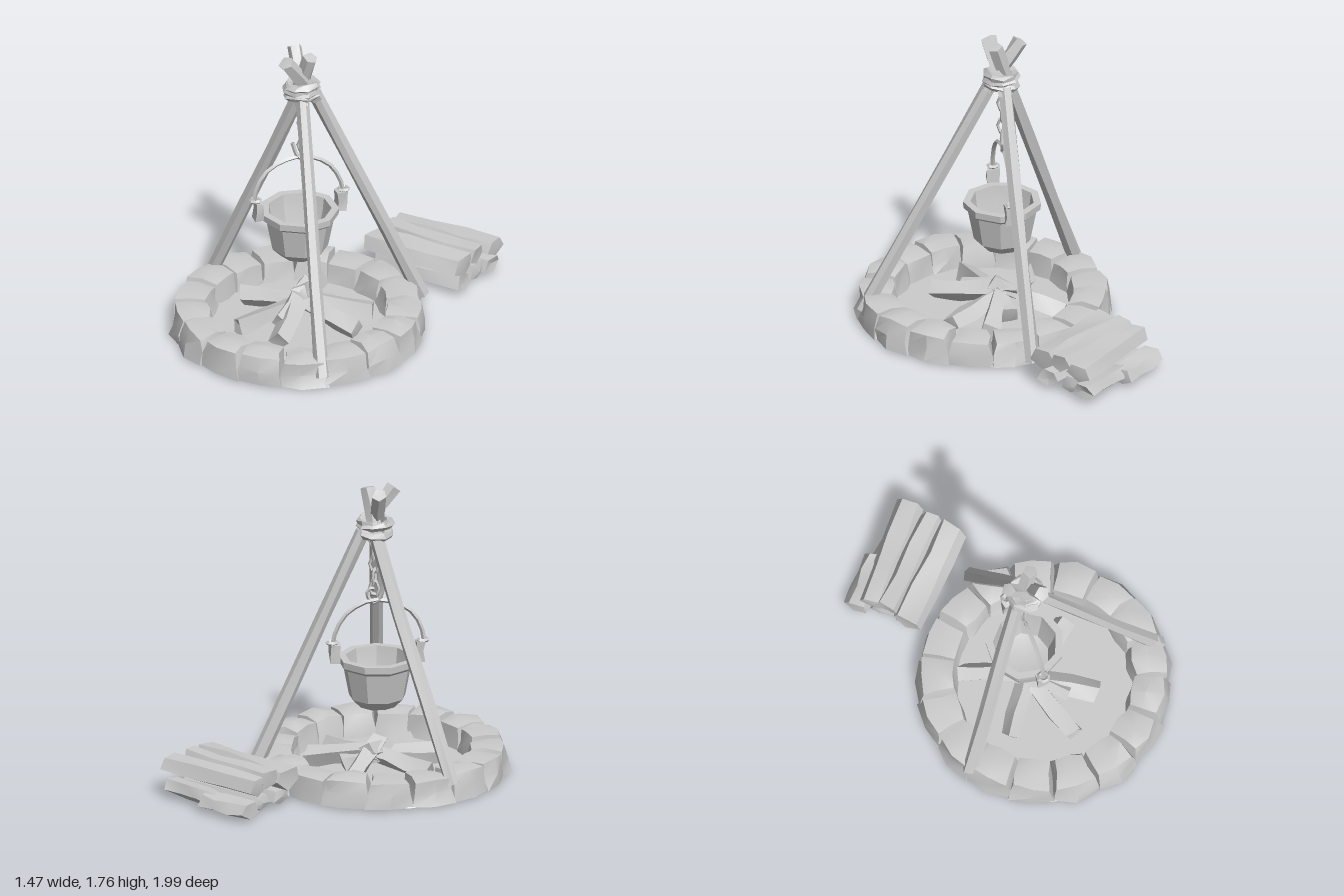
import * as THREE from 'three';
import { toCreasedNormals } from 'three/addons/utils/BufferGeometryUtils.js';

const material = new THREE.MeshStandardMaterial({ color: 0xcccccc, side: THREE.DoubleSide });
const V = (x, y, z) => new THREE.Vector3(x, y, z);

// Repeatable noise in -1..1 from a position, so coincident corners stay together
function noise(p, seed) {
  const r = n => Math.round(n * 1000) / 1000;
  const s = Math.sin(r(p.x) * 127.1 + r(p.y) * 311.7 + r(p.z) * 74.7 + seed * 53.3) * 43758.5453;
  return (s - Math.floor(s)) * 2 - 1;
}

// Move every vertex by a rule
function reshape(geometry, rule) {
  const pos = geometry.attributes.position, p = V(0, 0, 0);
  for (let i = 0; i < pos.count; i++) {
    p.fromBufferAttribute(pos, i);
    const q = rule(p);
    pos.setXYZ(i, q.x, q.y, q.z);
  }
  return geometry;
}

function jitter(geometry, amount, seed) {
  return reshape(geometry, p => V(
    p.x + amount * noise(p, seed),
    p.y + amount * noise(p, seed + 1),
    p.z + amount * noise(p, seed + 2)));
}

function add(parent, name, geometry) {
  const mesh = new THREE.Mesh(toCreasedNormals(geometry, 0.5), material);
  mesh.name = name;
  parent.add(mesh);
  return mesh;
}

// Rough wooden bar between two points
function beam(parent, name, a, b, r0, r1, sides, rough, seed, flat = 1) {
  const dir = b.clone().sub(a);
  const g = new THREE.CylinderGeometry(r1, r0, dir.length(), sides, 3);
  g.scale(1, 1, flat);
  const mesh = add(parent, name, jitter(g, rough, seed));
  mesh.quaternion.setFromUnitVectors(V(0, 1, 0), dir.normalize());
  mesh.position.copy(a).add(b).multiplyScalar(0.5);
  return mesh;
}

function group(parent, name, x = 0, y = 0, z = 0) {
  const g = new THREE.Group();
  g.name = name;
  g.position.set(x, y, z);
  parent.add(g);
  return g;
}

function buildFirePit(root) {
  const pit = group(root, 'firePit', 0, 0, 0.25);
  add(pit, 'ashBed', new THREE.CylinderGeometry(0.7, 0.72, 0.025, 28)).position.y = 0.0125;

  // Rough blocks bent round the ring
  const count = 17, step = Math.PI * 2 / count;
  for (let i = 0; i < count; i++) {
    const height = 0.158 + 0.014 * noise(V(i, 0, 0), 4);
    const g = new THREE.BoxGeometry(1, 1, 1, 2, 2, 2);
    add(pit, 'ringStone', reshape(g, p => {
      const n = k => noise(p, i * 3 + k);
      const up = p.y + 0.5;
      const bulge = 1 - 0.4 * p.x * p.x;
      const angle = (i + 0.5 + p.x * (1.06 - 0.2 * up) + 0.05 * n(0)) * step;
      const radius = 0.612 + p.z * (0.255 - 0.06 * up) * bulge + 0.014 * n(1);
      const y = up === 0 ? 0 : up * height * (1 - 0.25 * p.x * p.x - 0.3 * p.z * p.z) * 1.07 + 0.008 * n(2);
      return V(Math.sin(angle) * radius, y, Math.cos(angle) * radius);
    }));
  }
}

function buildCampfire(root) {
  const fire = group(root, 'campfireLogs');
  // Outer end x, z and height of the inner end
  const logs = [[-0.12, -0.21, 0.19], [0.34, -0.01, 0.14], [0.38, 0.24, 0.13], [0.05, 0.56, 0.15],
    [-0.24, 0.53, 0.13], [-0.39, 0.2, 0.14], [0.1, 0.02, 0.12]];
  logs.forEach(([x, z, h], i) => beam(fire, 'fireLog', V(x, 0.07, z),
    V(-0.03 - x * 0.12, h, 0.16 + (0.16 - z) * 0.12), 0.064, 0.055, 4, 0.012, i * 5 + 1));
  // Long log leaning over the heap
  beam(fire, 'leaningLog', V(-0.02, 0.1, 0.42), V(-0.06, 0.18, 0.05), 0.05, 0.055, 4, 0.012, 60);
}

function buildTripod(root) {
  const tripod = group(root, 'tripod');
  const poles = [
    [V(-0.67, 0.1, 0.06), V(-0.05, 1.48, 0.12), V(0.03, 1.73, 0.16)],
    [V(0.46, 0.05, 0.78), V(0.0, 1.48, 0.2), V(-0.12, 1.73, 0.08)],
    [V(0.46, 0.03, -0.38), V(0.02, 1.48, 0.1), V(-0.07, 1.72, 0.27)]];
  poles.forEach(([foot, mid, top], i) => {
    beam(tripod, 'pole', foot, mid, 0.042, 0.04, 6, 0.007, i * 7 + 2);
    const lean = mid.clone().sub(foot).normalize().multiplyScalar(0.05);
    beam(tripod, 'poleTip', mid.clone().sub(lean), top, 0.04, 0.044, 5, 0.006, i * 7 + 4);
  });
  // Rope wound round the crossing
  [[1.475, 0.12], [1.515, -0.14], [1.535, 0.1]].forEach(([y, tilt], i) => {
    const g = jitter(new THREE.TorusGeometry(0.085, 0.026, 5, 9), 0.008, i + 30);
    const rope = add(tripod, 'ropeBinding', g.rotateX(Math.PI / 2));
    rope.position.set(-0.03, y, 0.155);
    rope.rotation.z = tilt;
    rope.rotation.x = -tilt * 0.6;
  });
}

function buildChain(root) {
  const chain = group(root, 'chain', -0.03, 0, 0.145);
  // Long links, each turned a quarter from the last
  for (let i = 0; i < 5; i++) {
    const g = new THREE.TorusGeometry(0.028, 0.009, 4, 6).scale(1, 1.6, 1);
    const link = add(chain, 'chainLink', g);
    link.position.set(0, 1.42 - i * 0.072, 0);
    link.rotation.y = 0.35 + i * Math.PI / 2;
  }
  // Hook under the handle
  const path = new THREE.CatmullRomCurve3([V(0, 1.13, 0), V(0.03, 1.12, -0.02), V(0.025, 1.07, -0.02),
    V(0, 1.04, 0), V(-0.025, 1.07, 0.02), V(-0.05, 1.15, 0.03)]);
  add(chain, 'hook', new THREE.TubeGeometry(path, 10, 0.012, 4));
}

function buildPot(root) {
  const pot = group(root, 'cookingPot', -0.045, 0, 0.155);
  const profile = [[0, 0.42], [0.11, 0.425], [0.165, 0.48], [0.2, 0.66], [0.225, 0.68], [0.228, 0.72],
    [0.185, 0.72], [0.175, 0.64], [0.14, 0.5], [0, 0.47]].map(([x, y]) => new THREE.Vector2(x, y));
  add(pot, 'potBody', new THREE.LatheGeometry(profile, 9));

  // Everything on the handle axis runs along local x
  const bail = group(pot, 'handle');
  bail.rotation.y = Math.PI / 4;
  const arch = [[-0.27, 0.8], [-0.25, 0.9], [-0.18, 1.0], [-0.07, 1.05], [0.02, 1.06],
    [0.1, 1.035], [0.18, 0.98], [0.24, 0.88], [0.26, 0.79]].map(([x, y]) => V(x, y, 0));
  add(bail, 'handleArch', new THREE.TubeGeometry(new THREE.CatmullRomCurve3(arch), 12, 0.013, 4));
  for (const side of [-1, 1]) {
    const lug = new THREE.BoxGeometry(0.05, 0.12, 0.07, 1, 2, 1);
    add(bail, 'handleLug', jitter(lug, 0.008, side + 40)).position.set(side * 0.245, 0.745, 0);
    const knot = new THREE.TorusGeometry(0.028, 0.012, 4, 7).rotateX(Math.PI / 2);
    add(bail, 'handleKnot', knot).position.set(side * 0.262, 0.81, 0);
  }
}

function buildWoodPile(root) {
  const pile = group(root, 'woodPile');
  // Ends, radius and flattening of each split log
  const logs = [
    [V(0.05, 0.055, -0.61), V(0.62, 0.055, -0.59), 0.075, 0.7],
    [V(0.06, 0.055, -0.77), V(0.62, 0.055, -0.75), 0.08, 0.7],
    [V(0.03, 0.05, -0.92), V(0.36, 0.05, -0.92), 0.075, 0.7],
    [V(0.3, 0.05, -0.88), V(0.66, 0.055, -0.85), 0.07, 0.75],
    [V(0.01, 0.165, -0.6), V(0.64, 0.18, -0.56), 0.095, 0.72],
    [V(0.04, 0.19, -0.73), V(0.65, 0.19, -0.69), 0.075, 0.85],
    [V(0.04, 0.175, -0.83), V(0.69, 0.18, -0.84), 0.08, 0.75]];
  logs.forEach(([a, b, r, flat], i) => {
    const log = beam(pile, 'splitLog', a, b, r, r, 5, 0.011, i * 9 + 3, flat);
    // Lay the flattened side down
    log.rotateY(Math.PI / 2);
  });
}

export function createModel() {
  const root = new THREE.Group();
  root.name = 'campfireWithPot';
  buildFirePit(root);
  buildCampfire(root);
  buildTripod(root);
  buildChain(root);
  buildPot(root);
  buildWoodPile(root);
  return root;
}
